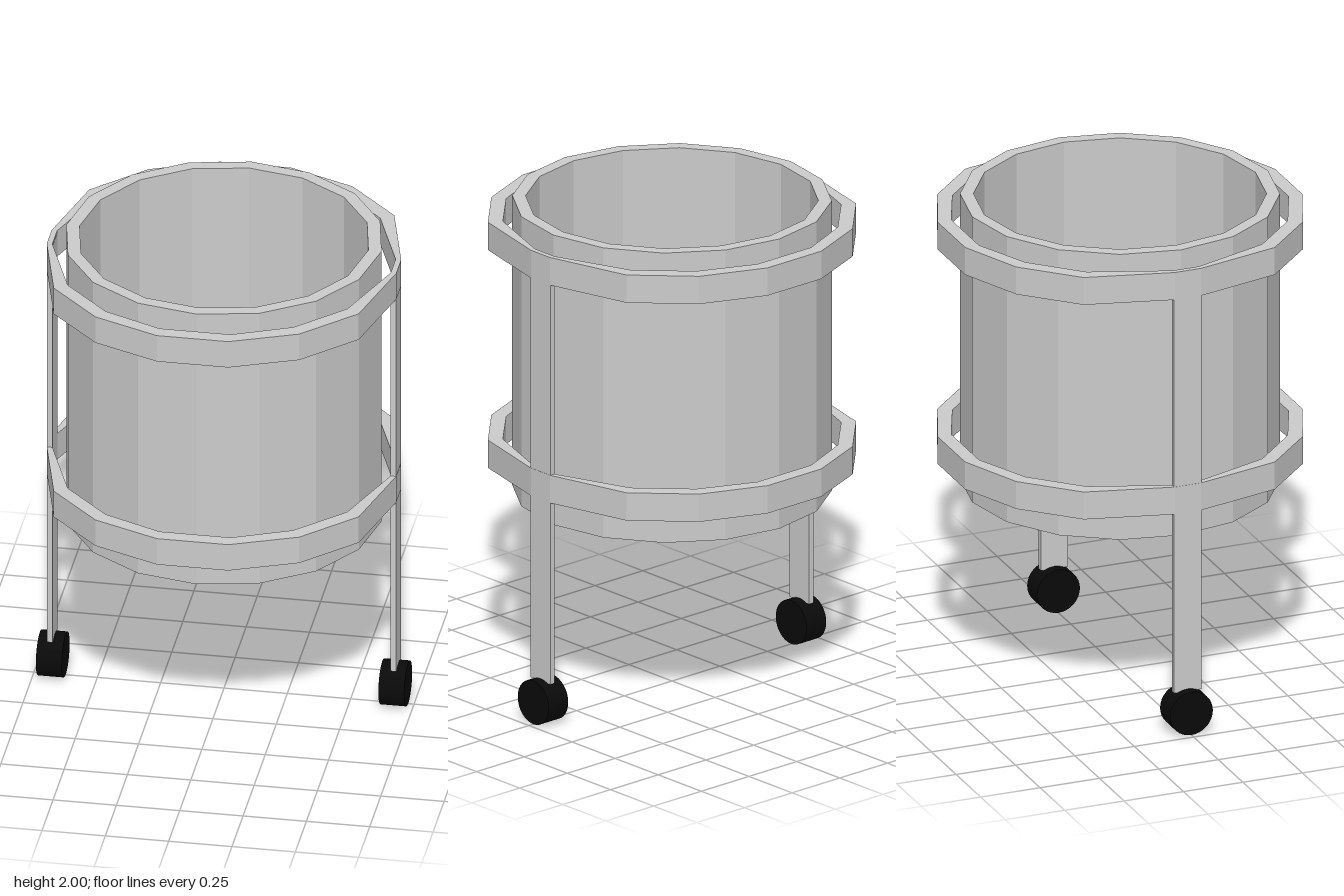
import * as THREE from 'three';

const grey = new THREE.MeshStandardMaterial({ color: 0xcccccc, flatShading: true });
const black = new THREE.MeshStandardMaterial({ color: 0x0a0a0a });

// One quadrant of a hoop's corners [x, z], mirrored into a closed loop
function mirrorQuadrant(q) {
  const flip = (sx, sz, list) => list.map(([x, z]) => new THREE.Vector2(sx * x, sz * z));
  const back = [...q].reverse();
  return [...flip(1, 1, q), ...flip(-1, 1, back), ...flip(-1, -1, q), ...flip(1, -1, back)];
}

function add(parent, name, geometry, material, x = 0, y = 0, z = 0) {
  const mesh = new THREE.Mesh(geometry, material);
  mesh.name = name;
  mesh.position.set(x, y, z);
  parent.add(mesh);
  return mesh;
}

export function createModel() {
  const model = new THREE.Group();
  model.name = 'wheeledDrum';

  // Open drum: outside, rim, inside wall and floor in one profile
  const profile = [[0, 0.8], [0.622, 0.8], [0.622, 2], [0.57, 2], [0.57, 0.85], [0, 0.85]]
    .map(([r, y]) => new THREE.Vector2(r, y));
  add(model, 'drum', new THREE.LatheGeometry(profile, 16), grey);

  // Hoops, pinched in at the sides where they meet the legs
  const hoop = new THREE.Shape(mirrorQuadrant([[0.69, 0.055], [0.602, 0.402], [0.402, 0.603], [0.141, 0.71]]));
  hoop.holes.push(new THREE.Path(mirrorQuadrant([[0.668, 0.055], [0.552, 0.37], [0.37, 0.552], [0.14, 0.652]])));
  const hoopGeometry = new THREE.ExtrudeGeometry(hoop, { depth: 0.115, bevelEnabled: false });
  hoopGeometry.rotateX(-Math.PI / 2);
  add(model, 'lowerHoop', hoopGeometry, grey, 0, 0.922, 0);
  add(model, 'upperHoop', hoopGeometry, grey, 0, 1.824, 0);

  // Flat legs and wheels on both sides
  const legGeometry = new THREE.BoxGeometry(0.022, 1.76, 0.114);
  const wheelGeometry = new THREE.CylinderGeometry(0.09, 0.09, 0.102, 32);
  wheelGeometry.rotateZ(Math.PI / 2);
  for (const [side, s] of [['left', 1], ['right', -1]]) {
    add(model, side + 'Leg', legGeometry, grey, s * 0.678, 1.05, 0);
    add(model, side + 'Wheel', wheelGeometry, black, s * 0.676, 0.09, 0);
  }
  return model;
}
